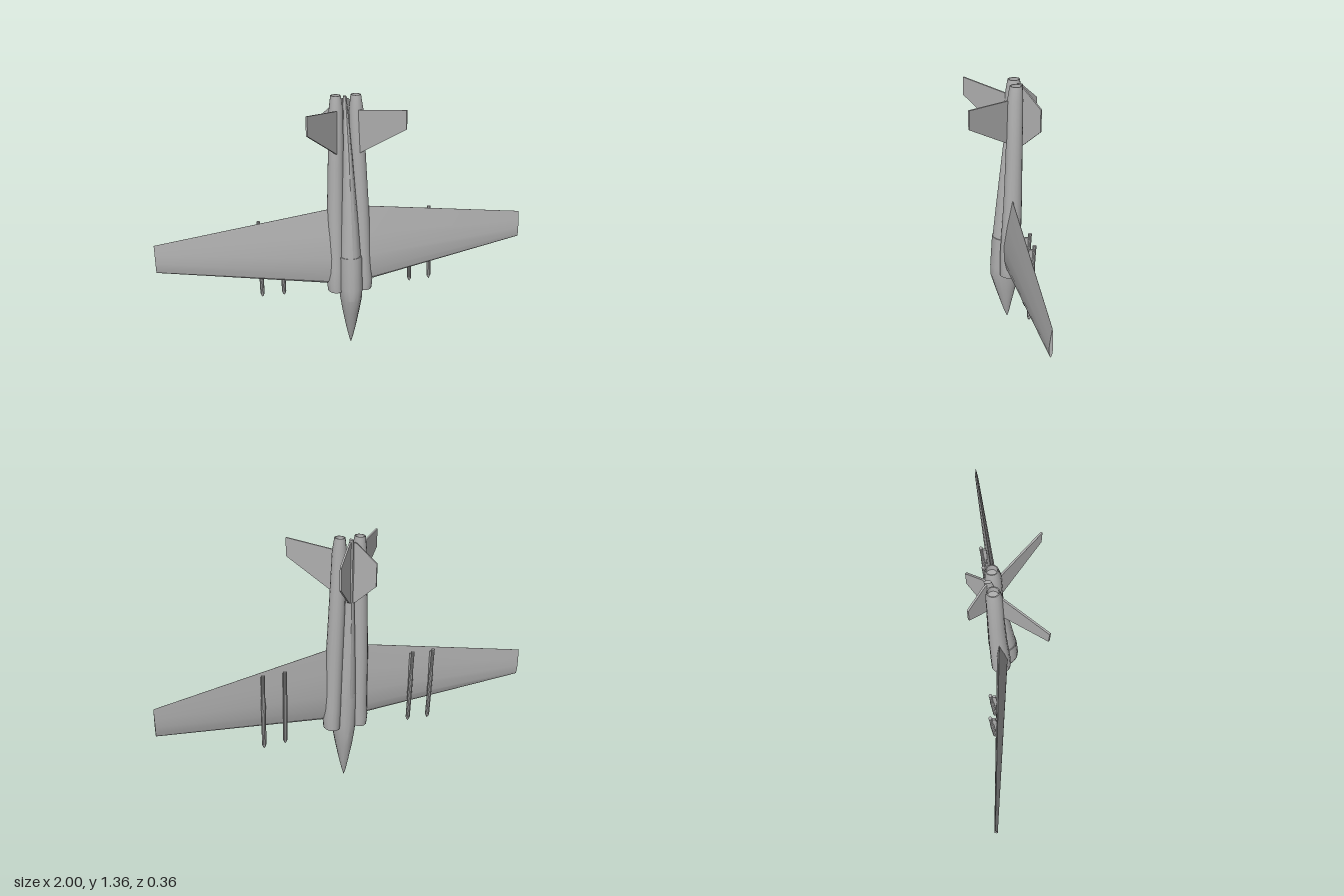
import * as THREE from 'three';
import { toCreasedNormals } from 'three/addons/utils/BufferGeometryUtils.js';

const SIDES = 16;

// Skin a list of equal-length rings of [x, y, z] points
function loft(rings, crease = 0.5) {
  const n = rings[0].length;
  const pos = rings.flat(2);
  const index = [];
  for (let r = 0; r < rings.length - 1; r++) {
    for (let i = 0; i < n; i++) {
      const a = r * n + i, b = r * n + (i + 1) % n;
      index.push(a, a + n, b, b, a + n, b + n);
    }
  }
  // close both ends
  const last = (rings.length - 1) * n;
  for (let i = 1; i < n - 1; i++) {
    index.push(0, i, i + 1, last, last + i + 1, last + i);
  }
  const geo = new THREE.BufferGeometry();
  geo.setAttribute('position', new THREE.Float32BufferAttribute(pos, 3));
  geo.setIndex(index);
  return toCreasedNormals(geo, crease);
}

// Elliptical body along y; each section is [y, x, z, radiusX, radiusZ]
function body(sections) {
  return loft(sections.map(([y, x, z, rx, rz]) =>
    Array.from({ length: SIDES }, (_, i) => {
      const a = (i / SIDES) * Math.PI * 2;
      return [x + rx * Math.cos(a), y, z + rz * Math.sin(a)];
    })));
}

export function createModel() {
  const model = new THREE.Group();
  model.name = 'jetAircraft';
  const plane = new THREE.Group();
  plane.name = 'airframe';
  plane.rotation.z = 0.0135;
  plane.position.x = 0.0065;
  model.add(plane);

  const grey = new THREE.MeshStandardMaterial({ color: 0xb0b0b0 });
  grey.name = 'airframeGrey';
  const add = (name, geo, parent = plane) => {
    const mesh = new THREE.Mesh(geo, grey);
    mesh.name = name;
    parent.add(mesh);
    return mesh;
  };

  // Nose and cockpit section
  add('noseSection', body([
    [0, 0, -0.025, 0.001, 0.001],
    [0.03, 0, -0.024, 0.01, 0.012],
    [0.1, 0, -0.02, 0.026, 0.031],
    [0.2, 0, -0.016, 0.045, 0.058],
    [0.28, 0, -0.011, 0.058, 0.076],
    [0.34, 0, -0.012, 0.063, 0.078],
    [0.52, 0, -0.02, 0.063, 0.075],
  ]));

  // Tapering rear fuselage
  add('rearFuselage', body([
    [0.5, 0, -0.021, 0.059, 0.075],
    [0.7, 0, -0.032, 0.048, 0.065],
    [0.9, 0, -0.043, 0.036, 0.054],
    [1.05, 0, -0.052, 0.027, 0.046],
    [1.2, 0, -0.068, 0.018, 0.033],
    [1.35, 0, -0.083, 0.008, 0.017],
  ]));

  // Engine nacelles with recessed intake and exhaust
  for (const [side, s] of [['left', 1], ['right', -1]]) {
    add(side + 'Nacelle', body([
      [0.38, 0.076, -0.033, 0.001, 0.001],
      [0.38, 0.076, -0.033, 0.034, 0.042],
      [0.32, 0.076, -0.033, 0.038, 0.048],
      [0.32, 0.076, -0.033, 0.043, 0.053],
      [0.37, 0.077, -0.033, 0.047, 0.054],
      [0.45, 0.073, -0.035, 0.045, 0.054],
      [0.75, 0.068, -0.047, 0.044, 0.047],
      [1.0, 0.06, -0.053, 0.041, 0.042],
      [1.29, 0.052, -0.058, 0.036, 0.039],
      [1.36, 0.052, -0.062, 0.026, 0.031],
      [1.36, 0.052, -0.062, 0.022, 0.026],
      [1.32, 0.052, -0.062, 0.02, 0.024],
      [1.32, 0.052, -0.062, 0.001, 0.001],
    ].map(([y, x, ...rest]) => [y, s * x, ...rest])));
  }

  // Drooping tapered wing in one span: [chord fraction, relative thickness]
  const airfoil = [[0, 0], [0.04, 0.5], [0.15, 0.85], [0.36, 1], [0.65, 0.65],
    [1, 0.04], [1, -0.04], [0.65, -0.6], [0.36, -0.9], [0.15, -0.75], [0.04, -0.4]];
  const wingRing = (x, lead, trail, z, thick, twist) => airfoil.map(([c, t]) =>
    [x, lead + c * (trail - lead), z + t * thick + twist * (0.5 - c)]);
  const root = [0.365, 0.775, -0.032, 0.03, 0.02];
  const tip = [0.49, 0.6375, -0.112, 0.009, 0.004];
  add('wing', loft([
    wingRing(-1, ...tip), wingRing(-0.1, ...root),
    wingRing(0.1, ...root), wingRing(1, ...tip),
  ], 0.35));

  // Underwing pods on short pylons
  const podProfile = [[0.0001, 0], [0.006, 0.008], [0.0115, 0.022], [0.0115, 0.28],
    [0.009, 0.3], [0.009, 0.42], [0.0001, 0.42]].map(p => new THREE.Vector2(...p));
  const podGeo = toCreasedNormals(new THREE.LatheGeometry(podProfile, 10), 0.6);
  const pylonGeo = new THREE.BoxGeometry(0.009, 0.24, 0.028);
  for (const x of [-0.465, -0.35, 0.35, 0.465]) {
    const store = new THREE.Group();
    store.name = 'underwingStore';
    store.position.set(x, 0.3, -0.08 - (Math.abs(x) - 0.35) * 0.06);
    store.rotation.x = -0.05;
    add('pod', podGeo, store);
    add('pylon', pylonGeo, store).position.set(0, 0.28, 0.012);
    plane.add(store);
  }

  // X-shaped tail: outlines are [distance from tail axis, y]
  const fin = (name, outline, angle) => {
    const shape = new THREE.Shape(outline.map(p => new THREE.Vector2(...p)));
    const geo = new THREE.ExtrudeGeometry(shape, { depth: 0.009, bevelEnabled: false });
    geo.translate(0, 0, -0.0045);
    const mesh = add(name, geo);
    mesh.position.z = -0.082;
    mesh.rotation.y = -angle;
  };
  const upper = [[0.02, 1.03], [0.355, 1.22], [0.355, 1.315], [0.02, 1.282]];
  const lower = [[0.01, 1.03], [0.03, 1.04], [0.135, 1.135], [0.135, 1.25], [0.03, 1.335], [0.01, 1.34]];
  const tilt = 0.81;
  fin('leftUpperFin', upper, tilt);
  fin('rightUpperFin', upper, Math.PI - tilt);
  fin('leftLowerFin', lower, -tilt);
  fin('rightLowerFin', lower, Math.PI + tilt);

  return model;
}
